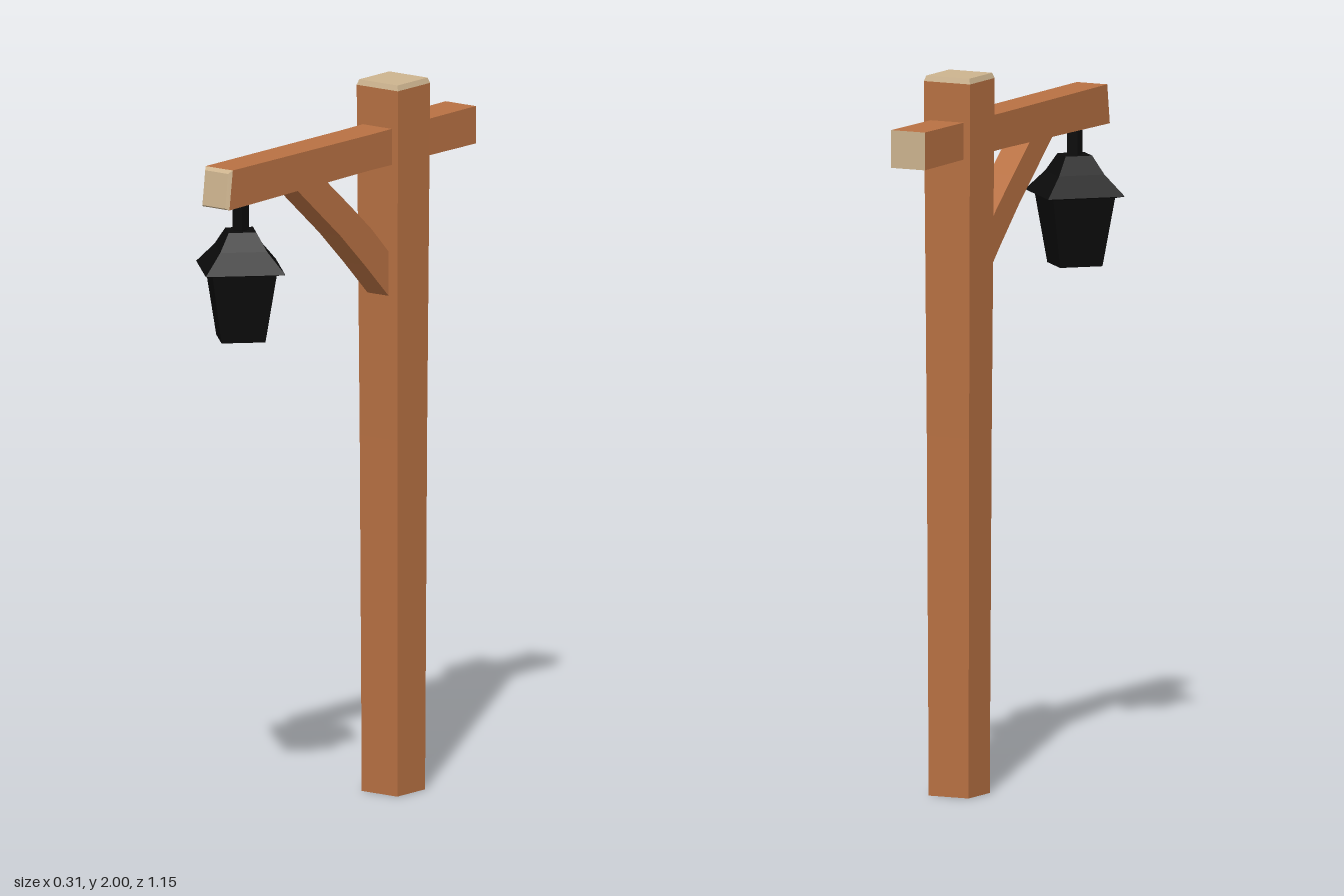
import * as THREE from 'three';

const wood = new THREE.MeshStandardMaterial({ color: 0xb87143, side: THREE.DoubleSide });
wood.name = 'wood';
const cutWood = new THREE.MeshStandardMaterial({ color: 0xcdb48f, side: THREE.DoubleSide });
cutWood.name = 'cut wood';
const iron = new THREE.MeshStandardMaterial({ color: 0x0b0b0b, side: THREE.DoubleSide });
iron.name = 'black iron';

// Flat-faced skin over four-cornered rings, optionally closed at the last ring
function loft(rings, closeEnd) {
  const pos = [];
  const quad = (a, b, c, d) => pos.push(...a, ...b, ...c, ...a, ...c, ...d);
  for (let i = 0; i < rings.length - 1; i++) {
    const p = rings[i], q = rings[i + 1];
    for (let k = 0; k < 4; k++) {
      const n = (k + 1) % 4;
      quad(p[k], p[n], q[n], q[k]);
    }
  }
  if (closeEnd) quad(...rings[rings.length - 1]);
  const g = new THREE.BufferGeometry();
  g.setAttribute('position', new THREE.Float32BufferAttribute(pos, 3));
  g.computeVertexNormals();
  return g;
}

// Square ring across the post
const PX = -0.007, PZ = -0.274;
const level = (y, h) => [[-h, h], [h, h], [h, -h], [-h, -h]].map(([x, z]) => [PX + x, y, PZ + z]);

// Rectangular ring across the beam; the top edge may lean back from the bottom edge
const across = (zBottom, zTop, x0, x1, y0, y1) =>
  [[x0, y0, zBottom], [x1, y0, zBottom], [x1, y1, zTop], [x0, y1, zTop]];

export function createModel() {
  const group = new THREE.Group();
  const add = (name, geometry, material, parent = group) => {
    const mesh = new THREE.Mesh(geometry, material);
    mesh.name = name;
    parent.add(mesh);
    return mesh;
  };

  // Tapered post, open underneath, with a bevelled cut top
  add('post', loft([level(0, 0.062), level(1.0, 0.066), level(1.985, 0.072)], false), wood);
  add('postTop', loft([level(1.985, 0.072), level(2.0, 0.067)], true), cutWood);

  // Crossbeam with cut ends
  const back = across(-0.575, -0.575, -0.06, 0.045, 1.774, 1.879);
  const front = across(0.518, 0.503, -0.054, 0.041, 1.767, 1.877);
  add('beam', loft([back, across(-0.1, -0.1, -0.057, 0.043, 1.776, 1.876), front], false), wood);
  add('beamBackEnd', loft([[back[1], back[0], back[3], back[2]]], true), cutWood);
  add('beamFrontEnd', loft([front, across(0.526, 0.514, -0.047, 0.033, 1.772, 1.868)], true), cutWood);

  // Curved brace: pairs of upper and lower points as [z, y]
  const brace = [
    [[-0.215, 1.52], [-0.215, 1.396]],
    [[-0.13, 1.605], [-0.1, 1.508]],
    [[-0.03, 1.69], [0.01, 1.61]],
    [[0.08, 1.78], [0.215, 1.78]],
  ].map(([up, low]) => [
    [-0.044, low[1], low[0]], [0.03, low[1], low[0]],
    [0.03, up[1], up[0]], [-0.044, up[1], up[0]],
  ]);
  add('brace', loft(brace, true), wood);

  // Four-sided hanging lantern with its corners on the axes
  const lantern = new THREE.Group();
  lantern.name = 'lantern';
  lantern.position.set(0, 0, 0.415);
  group.add(lantern);
  const foursided = (points) => {
    const g = new THREE.LatheGeometry(points.map(([r, y]) => new THREE.Vector2(r, y)), 4).toNonIndexed();
    g.computeVertexNormals();
    return g;
  };
  add('lanternBody', foursided([[0, 1.385], [0.086, 1.385], [0.126, 1.58]]), iron, lantern);
  add('lanternRoof', foursided([[0.12, 1.576], [0.156, 1.583], [0.092, 1.64], [0.054, 1.69], [0, 1.69]]), iron, lantern);
  const hanger = add('lanternHanger', new THREE.BoxGeometry(0.032, 0.1, 0.032), iron, lantern);
  hanger.position.y = 1.732;

  return group;
}
